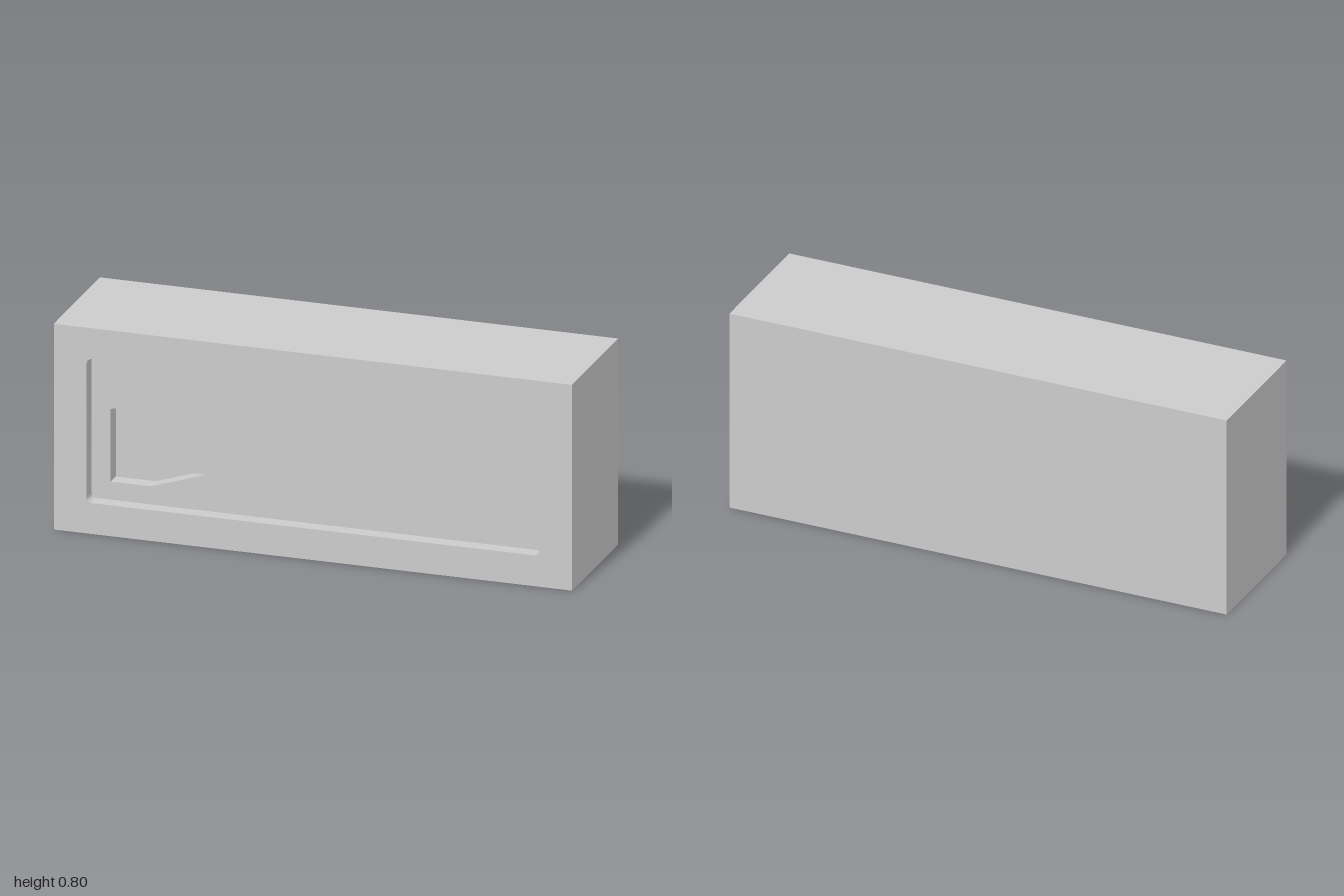
import * as THREE from 'three';
import { toCreasedNormals } from 'three/addons/utils/BufferGeometryUtils.js';

const HALF_X = 1, HEIGHT = 0.8, FRONT = 0.26, BACK = -0.26;
const PANEL_Z = 0.203, CUT_Z = 0.145;
const CURVE_STEPS = 6;

// Rectangle outline, counter-clockwise, with optional rounded corners
function rectangle(halfX, y0, y1, r = 0) {
  const s = new THREE.Shape();
  if (r === 0) {
    return s.moveTo(-halfX, y0).lineTo(halfX, y0).lineTo(halfX, y1).lineTo(-halfX, y1).closePath();
  }
  s.absarc(halfX - r, y0 + r, r, -Math.PI / 2, 0);
  s.absarc(halfX - r, y1 - r, r, 0, Math.PI / 2);
  s.absarc(-halfX + r, y1 - r, r, Math.PI / 2, Math.PI);
  s.absarc(-halfX + r, y0 + r, r, Math.PI, Math.PI * 1.5);
  return s.closePath();
}

// L-shaped cutout with a pointed foot
function cutoutOutline() {
  const s = new THREE.Shape();
  s.moveTo(-0.8, 0.19).lineTo(-0.665, 0.19);
  s.quadraticCurveTo(-0.648, 0.19, -0.632, 0.195);
  s.lineTo(-0.434, 0.26).lineTo(-0.708, 0.26);
  s.quadraticCurveTo(-0.725, 0.26, -0.725, 0.277);
  s.lineTo(-0.725, 0.48);
  s.quadraticCurveTo(-0.765, 0.482, -0.8, 0.473);
  return s.closePath();
}

// Strip of walls along an outline; inward walls face the inside of a recess
function walls(shape, z0, z1, inward) {
  const pts = shape.getPoints(CURVE_STEPS);
  if (inward) pts.reverse();
  const pos = [];
  pts.forEach((a, i) => {
    const b = pts[(i + 1) % pts.length];
    if (a.distanceTo(b) < 1e-6) return;
    pos.push(a.x, a.y, z0, b.x, b.y, z0, b.x, b.y, z1);
    pos.push(a.x, a.y, z0, b.x, b.y, z1, a.x, a.y, z1);
  });
  const g = new THREE.BufferGeometry();
  g.setAttribute('position', new THREE.Float32BufferAttribute(pos, 3));
  return toCreasedNormals(g, 0.5);
}

// Flat front-facing surface, optionally with an opening
function face(shape, z, hole) {
  const s = shape.clone();
  if (hole) s.holes.push(hole);
  return new THREE.ShapeGeometry(s, CURVE_STEPS).translate(0, 0, z);
}

export function createModel() {
  const model = new THREE.Group();
  model.name = 'recessedBlock';
  const material = new THREE.MeshStandardMaterial({ color: 0xcccccc });
  const add = (name, geometry) => {
    const mesh = new THREE.Mesh(geometry, material);
    mesh.name = name;
    model.add(mesh);
  };

  const body = rectangle(HALF_X, 0, HEIGHT);
  const panel = rectangle(0.873, 0.12, 0.68, 0.02);
  const cutout = cutoutOutline();

  // Block
  add('frontFrame', face(body, FRONT, panel));
  add('outerWalls', walls(body, BACK, FRONT, false));
  add('backFace', face(body, 0).rotateY(Math.PI).translate(0, 0, BACK));

  // Rounded panel sunk into the front
  add('panelWalls', walls(panel, PANEL_Z, FRONT, true));
  add('panelFloor', face(panel, PANEL_Z, cutout));

  // Pointed cutout sunk into the panel
  add('cutoutWalls', walls(cutout, CUT_Z, PANEL_Z, true));
  add('cutoutFloor', face(cutout, CUT_Z));

  return model;
}
